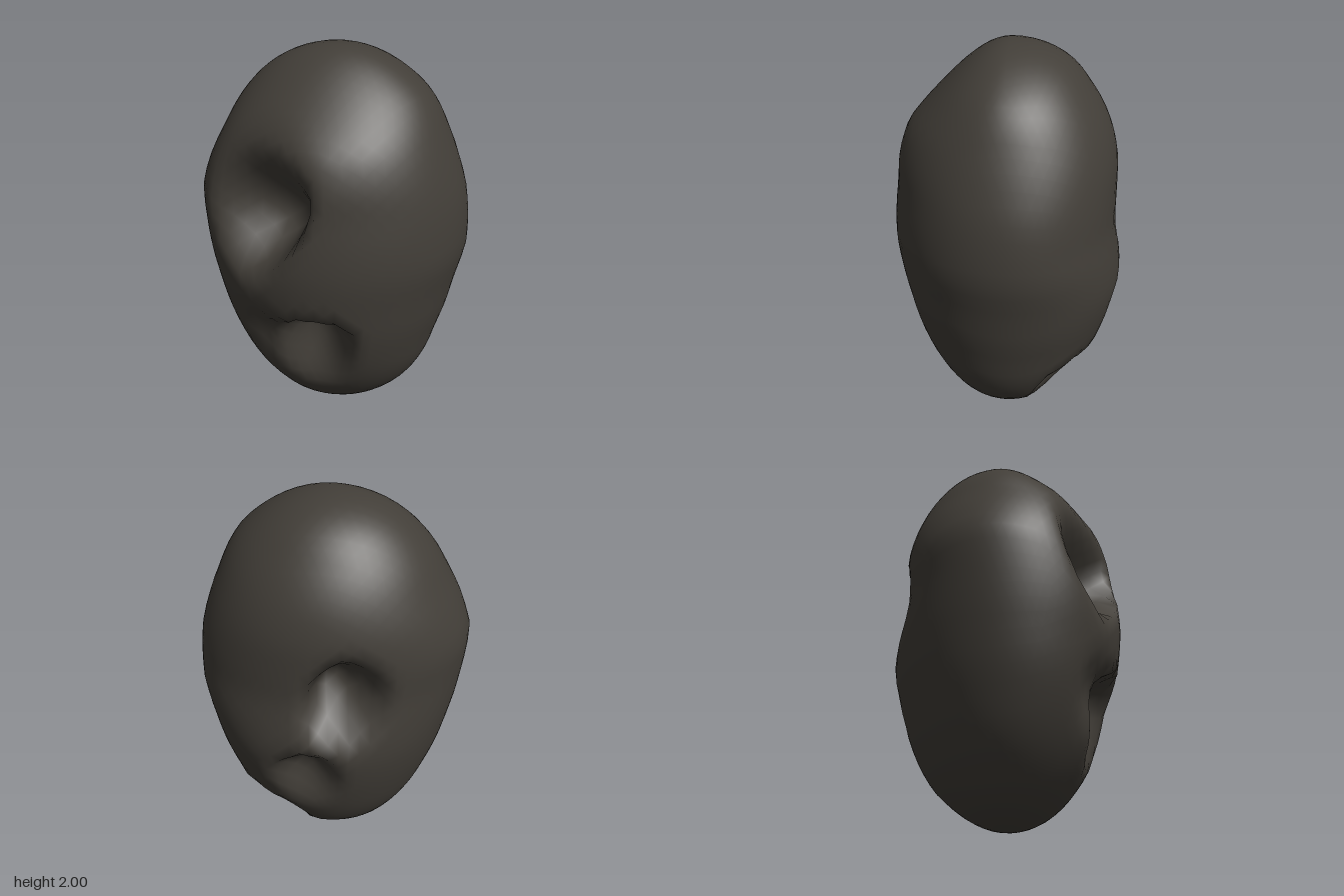
import * as THREE from 'three';
import { mergeVertices } from 'three/addons/utils/BufferGeometryUtils.js';

// Level (-1 bottom to 1 top), then ellipse radii towards +x, -x, +z, -z
const LEVELS = [
  [-1.0, 0.71, 0.68, 0.58, 0.55],
  [-0.8, 0.70, 0.63, 0.57, 0.60],
  [-0.5, 0.64, 0.62, 0.585, 0.59],
  [-0.2, 0.645, 0.635, 0.59, 0.60],
  [0.0, 0.68, 0.66, 0.605, 0.565],
  [0.12, 0.685, 0.68, 0.605, 0.545],
  [0.3, 0.69, 0.72, 0.605, 0.57],
  [0.45, 0.685, 0.71, 0.63, 0.605],
  [0.6, 0.69, 0.695, 0.635, 0.63],
  [0.8, 0.735, 0.72, 0.54, 0.65],
  [1.0, 0.71, 0.76, 0.45, 0.74],
];

// Each pit is steep on its rim side and ramps out gently on the opposite side
const PITS = [
  { at: [-0.27, 1.38, 0.5], rim: [0, 1, 0], steep: 0.42, ramp: 0.36, wide: 0.36, depth: 0.08, over: 0 },
  { at: [-0.18, 1.22, 0.54], rim: [0.81, -0.58, 0.1], steep: 0.16, ramp: 0.46, wide: 0.36, depth: 0.23, over: 0.06 },
  { at: [0.02, 0.61, 0.55], rim: [0, 1, 0.1], steep: 0.17, ramp: 0.46, wide: 0.26, depth: 0.2, over: 0.08 },
  { at: [-0.24, 0.6, 0.5], rim: [0, 1, 0], steep: 0.22, ramp: 0.25, wide: 0.2, depth: 0.06, over: 0.02 },
  { at: [-0.13, 1.15, -0.53], rim: [0.9, 0.4, 0], steep: 0.18, ramp: 0.3, wide: 0.28, depth: 0.24, over: 0.04 },
  { at: [0.04, 0.7, -0.58], rim: [0.4, 0.9, 0], steep: 0.16, ramp: 0.3, wide: 0.23, depth: 0.12, over: 0.04 },
  { at: [0.28, 0.28, -0.34], rim: [0, 1, 0], steep: 0.17, ramp: 0.32, wide: 0.26, depth: 0.12, over: 0.05 },
].map((p) => ({ ...p, at: new THREE.Vector3(...p.at), rim: new THREE.Vector3(...p.rim).normalize() }));

function radiiAt(t) {
  let i = 0;
  while (i < LEVELS.length - 2 && t > LEVELS[i + 1][0]) i++;
  const a = LEVELS[i], b = LEVELS[i + 1];
  const k = (t - a[0]) / (b[0] - a[0]);
  return a.map((v, j) => THREE.MathUtils.lerp(v, b[j], k));
}

// Uneven egg-shaped body, slightly skewed across the diagonal
function shapeBody(p) {
  const [, right, left, front, back] = radiiAt(p.y);
  const skew = 1 - 0.07 * p.x * p.z;
  p.set(p.x * skew * (p.x > 0 ? right : left), p.y + 1, p.z * skew * (p.z > 0 ? front : back));
}

// Push the surface inwards and slightly under the rim
function pressPit(p, pit) {
  const v = p.clone().sub(pit.at);
  const along = v.dot(pit.rim);
  const across = v.addScaledVector(pit.rim, -along).length();
  const d2 = (along / (along > 0 ? pit.steep : pit.ramp)) ** 2 + (across / pit.wide) ** 2;
  if (d2 >= 1) return;
  const f = (1 - d2) ** 2;
  const inward = new THREE.Vector3(-pit.at.x * 0.7, 0, -pit.at.z).normalize();
  p.addScaledVector(inward, pit.depth * f).addScaledVector(pit.rim, pit.over * f);
}

export function createModel() {
  const group = new THREE.Group();
  group.name = 'boulder';

  // Rock surface
  let geo = new THREE.IcosahedronGeometry(1, 13);
  geo.deleteAttribute('normal');
  geo.deleteAttribute('uv');
  geo = mergeVertices(geo, 1e-4);
  const pos = geo.attributes.position;
  const p = new THREE.Vector3();
  for (let i = 0; i < pos.count; i++) {
    p.fromBufferAttribute(pos, i);
    shapeBody(p);
    for (const pit of PITS) pressPit(p, pit);
    pos.setXYZ(i, p.x, p.y, p.z);
  }
  geo.computeVertexNormals();

  const rock = new THREE.Mesh(geo, new THREE.MeshStandardMaterial({ color: 0x423e38 }));
  rock.name = 'pittedRock';
  group.add(rock);
  return group;
}
